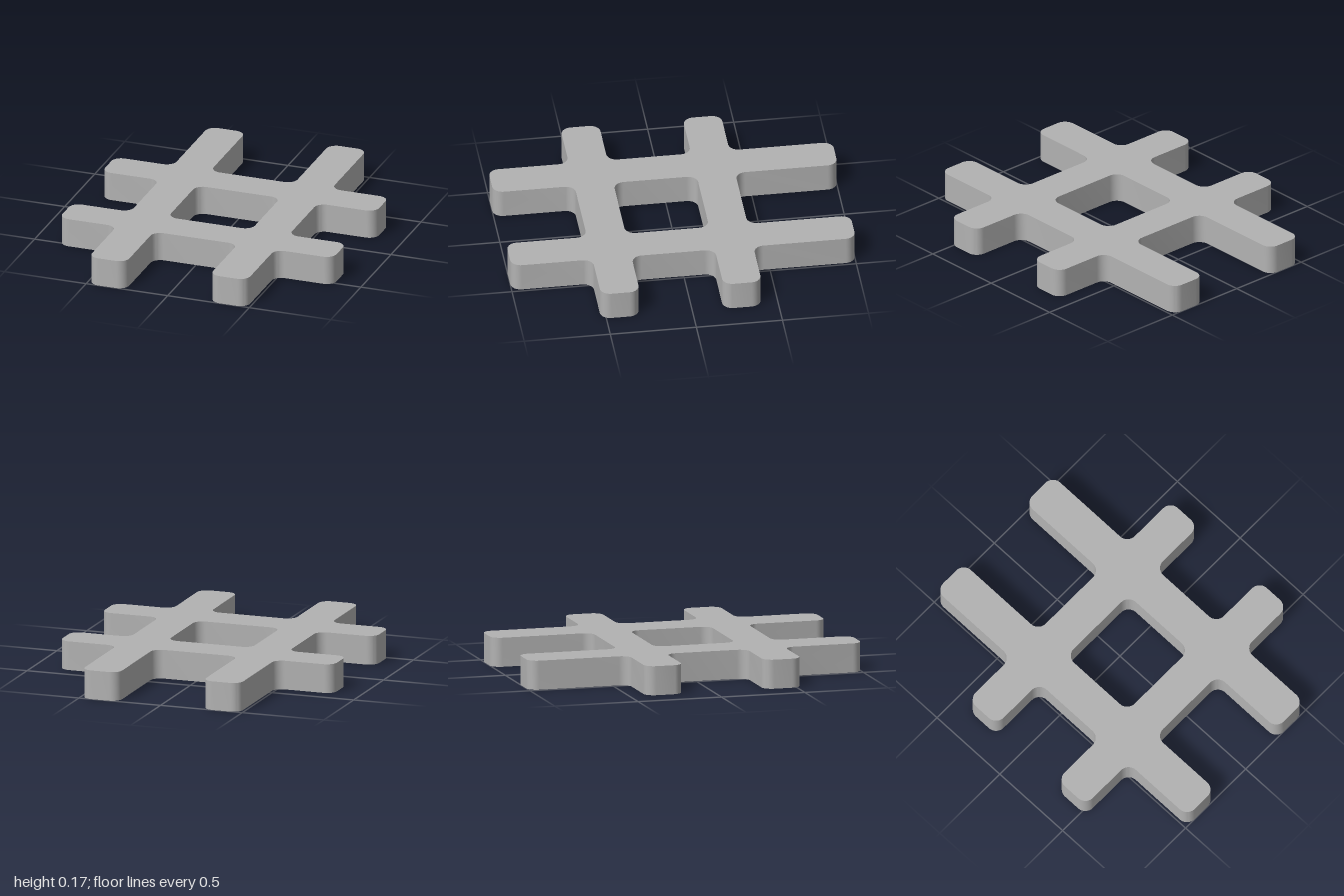
import * as THREE from 'three';
import { toCreasedNormals } from 'three/addons/utils/BufferGeometryUtils.js';

const HEIGHT = 0.17, RADIUS = 0.06;
// Bar edges: x of the long bars, half length of the cross bars, y (= -z) of the cross bars
const IN = 0.257, OUT = 0.485, END = 0.84;
const Y1 = -0.53, Y2 = -0.305, Y3 = 0.18, Y4 = 0.403;

// Trace a closed polygon into a path, turning each corner into a quarter arc
function roundedLoop(path, points, radius) {
  const corners = points.map(([x, y]) => new THREE.Vector2(x, y));
  const n = corners.length;
  const k = 0.5523; // Bezier factor for a quarter circle
  corners.forEach((c, i) => {
    const toPrev = corners[(i + n - 1) % n].clone().sub(c).setLength(radius);
    const toNext = corners[(i + 1) % n].clone().sub(c).setLength(radius);
    const a = c.clone().add(toPrev), b = c.clone().add(toNext);
    const ca = c.clone().addScaledVector(toPrev, 1 - k);
    const cb = c.clone().addScaledVector(toNext, 1 - k);
    if (i === 0) path.moveTo(a.x, a.y);
    else path.lineTo(a.x, a.y);
    path.bezierCurveTo(ca.x, ca.y, cb.x, cb.y, b.x, b.y);
  });
  path.closePath();
  return path;
}

export function createModel() {
  const group = new THREE.Group();
  group.name = 'crossedBars';
  const grey = new THREE.MeshStandardMaterial({ color: 0xb2b2b2 });
  grey.name = 'grey';

  // Right half of the outline from bottom to top, mirrored for the left half
  const half = [
    [IN, Y1], [IN, -1], [OUT, -1], [OUT, Y1], [END, Y1], [END, Y2], [OUT, Y2],
    [OUT, Y3], [END, Y3], [END, Y4], [OUT, Y4], [OUT, 1], [IN, 1], [IN, Y4],
  ];
  const mirrored = half.map(([x, y]) => [-x, y]).reverse();
  const outline = roundedLoop(new THREE.Shape(), [...half, ...mirrored], RADIUS);

  // Central opening between the four bars
  outline.holes.push(roundedLoop(new THREE.Path(),
    [[-IN, Y2], [-IN, Y3], [IN, Y3], [IN, Y2]], RADIUS));

  // Lay the extruded slab flat on the ground
  const extruded = new THREE.ExtrudeGeometry(outline, {
    depth: HEIGHT, bevelEnabled: false, curveSegments: 10,
  });
  extruded.rotateX(-Math.PI / 2);
  const slab = new THREE.Mesh(toCreasedNormals(extruded, 0.6), grey);
  slab.name = 'crossedBarSlab';
  group.add(slab);
  return group;
}
